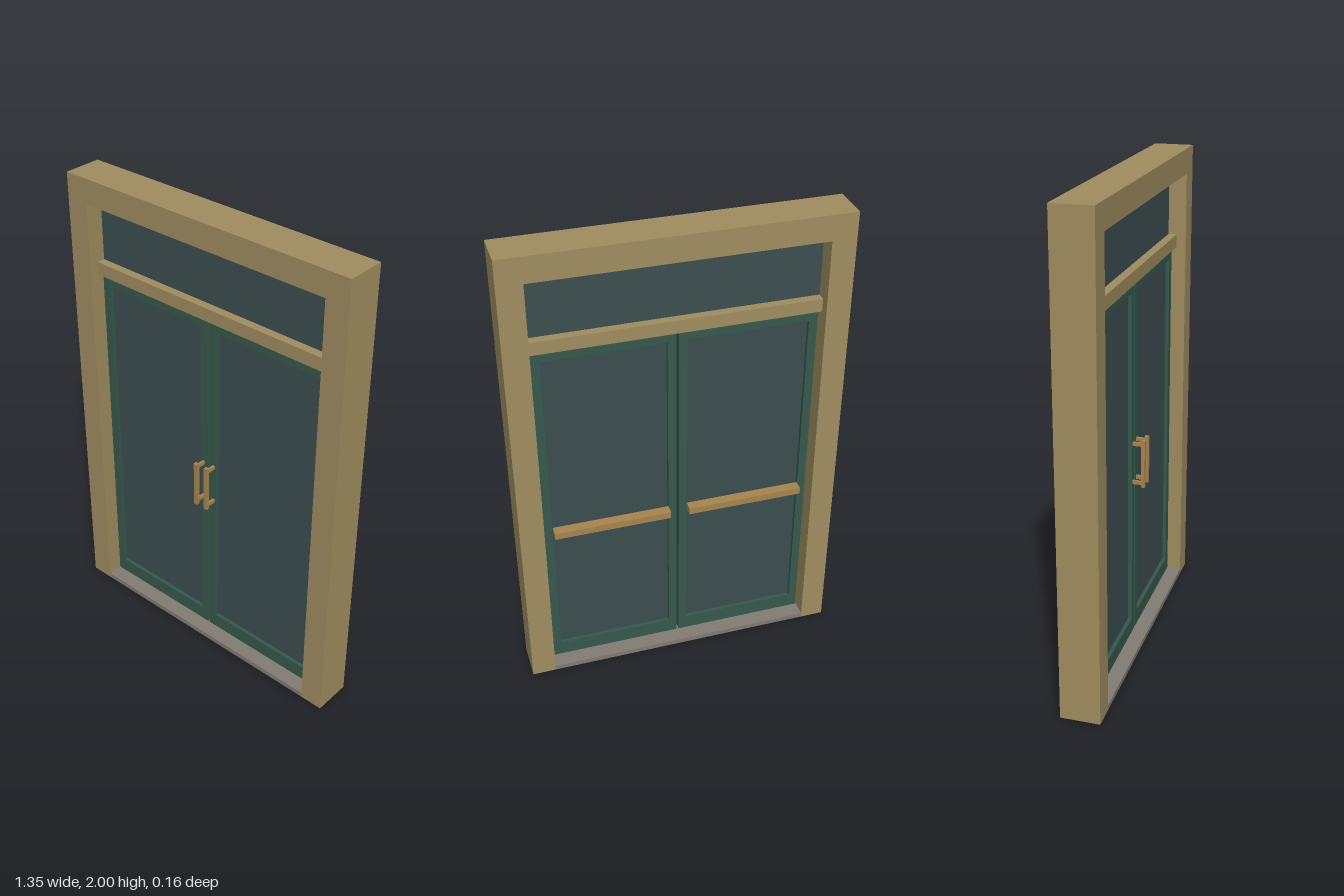
import * as THREE from 'three';

const material = (name, color) => {
  const m = new THREE.MeshStandardMaterial({ color });
  m.name = name;
  return m;
};

// Box given by its lower and upper bounds on each axis
function box(name, mat, [x0, x1], [y0, y1], [z0, z1]) {
  const mesh = new THREE.Mesh(new THREE.BoxGeometry(x1 - x0, y1 - y0, z1 - z0), mat);
  mesh.position.set((x0 + x1) / 2, (y0 + y1) / 2, (z0 + z1) / 2);
  mesh.name = name;
  return mesh;
}

// Rectangular outline, usable as a shape or as a hole
function rect(Type, x0, x1, y0, y1) {
  return new Type([[x0, y0], [x1, y0], [x1, y1], [x0, y1]].map(p => new THREE.Vector2(...p)));
}

// Upright plate with one rectangular opening, centred on z = 0
function openPlate(name, mat, outer, inner, depth) {
  const shape = rect(THREE.Shape, ...outer);
  shape.holes.push(rect(THREE.Path, ...inner));
  const geo = new THREE.ExtrudeGeometry(shape, { depth, bevelEnabled: false });
  geo.translate(0, 0, -depth / 2);
  const mesh = new THREE.Mesh(geo, mat);
  mesh.name = name;
  return mesh;
}

export function createModel() {
  const bronze = material('frame bronze', 0xa08e60);
  const green = material('door green', 0x36594c);
  const glass = material('dark glass', 0x3c4e4f);
  const brass = material('handle brass', 0xa8864f);
  const stone = material('sill grey', 0x827d74);

  const model = new THREE.Group();
  model.name = 'doubleDoor';
  const D = 0.082; // half depth of the surround

  // Surround: two jambs and a head, with the sill between the jambs
  const outline = [[-0.675, 0], [-0.575, 0], [-0.575, 1.895], [0.575, 1.895],
    [0.575, 0], [0.675, 0], [0.675, 2], [-0.675, 2]];
  const frameGeo = new THREE.ExtrudeGeometry(
    new THREE.Shape(outline.map(p => new THREE.Vector2(...p))), { depth: 2 * D, bevelEnabled: false });
  frameGeo.translate(0, 0, -D);
  const frame = new THREE.Mesh(frameGeo, bronze);
  frame.name = 'frame';
  model.add(frame);
  model.add(box('sill', stone, [-0.575, 0.575], [0, 0.022], [-D, D]));

  // Transom bar and the fixed pane above it
  model.add(box('transomBar', bronze, [-0.575, 0.575], [1.58, 1.635], [-0.042, 0.042]));
  model.add(box('transomGlass', glass, [-0.575, 0.575], [1.635, 1.895], [-0.006, 0.006]));

  // Two mirrored door leaves
  for (const side of [-1, 1]) {
    const leaf = new THREE.Group();
    leaf.name = side > 0 ? 'leftDoor' : 'rightDoor';
    const span = (a, b) => (side > 0 ? [a, b] : [-b, -a]);

    leaf.add(openPlate('doorFrame', green,
      [...span(0.005, 0.567), 0.03, 1.573], [...span(0.04, 0.532), 0.095, 1.535], 0.044));
    leaf.add(box('doorGlass', glass, span(0.04, 0.532), [0.095, 1.535], [-0.006, 0.006]));

    // Pull handle on the front, held by two posts
    leaf.add(box('handleGrip', brass, span(0.019, 0.035), [0.715, 0.92], [0.059, 0.075]));
    for (const y of [0.725, 0.895]) {
      leaf.add(box('handlePost', brass, span(0.021, 0.033), [y, y + 0.015], [0.02, 0.06]));
    }

    // Push bar across the back
    leaf.add(box('pushBar', brass, span(0.04, 0.53), [0.715, 0.745], [-0.062, -0.02]));
    model.add(leaf);
  }
  return model;
}
